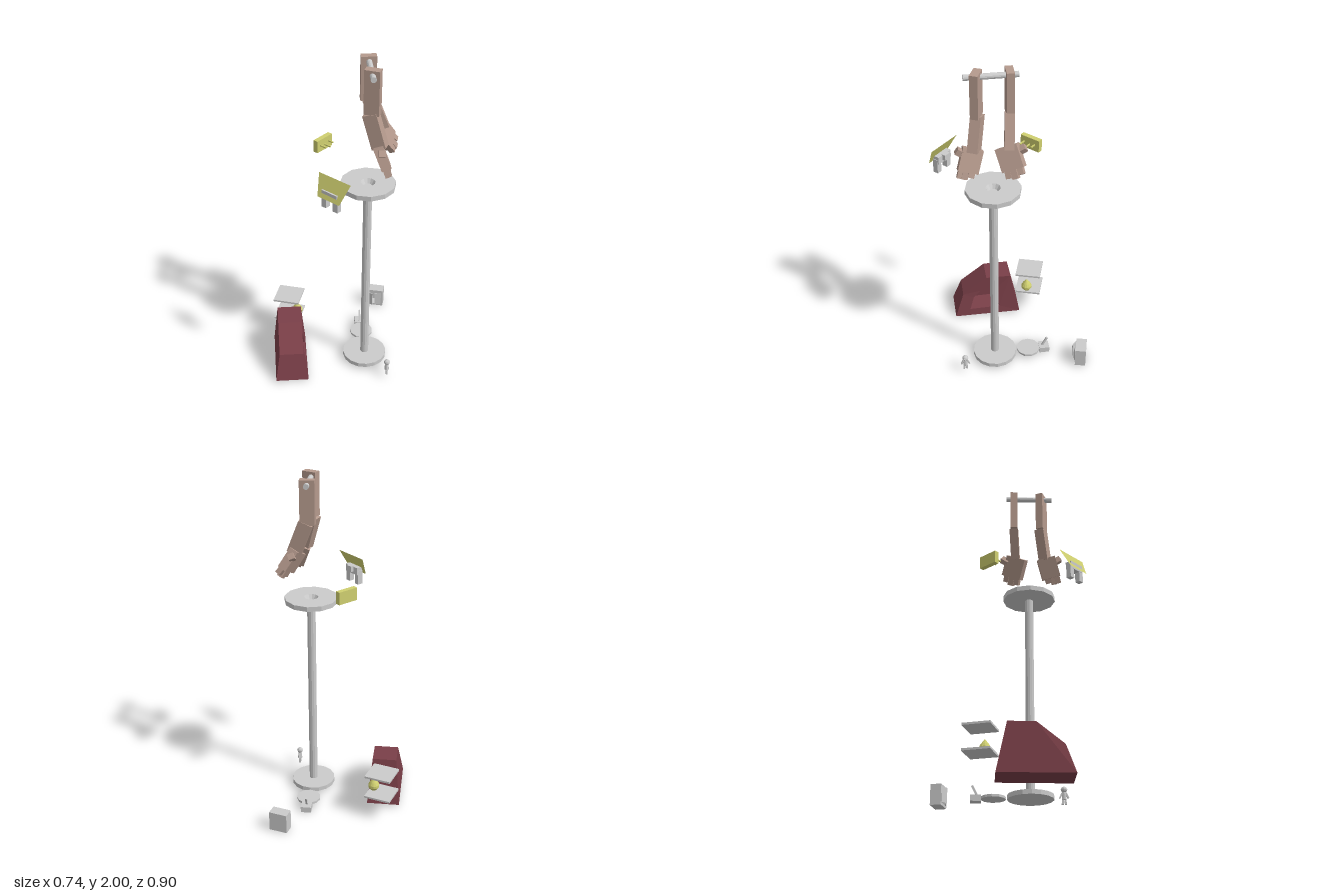
import * as THREE from 'three';

const mat = (color) => new THREE.MeshStandardMaterial({ color, flatShading: true, side: THREE.DoubleSide });
const V = (a) => new THREE.Vector3(...a);

export function createModel() {
  const model = new THREE.Group();
  const grey = mat(0xcccccc), clay = mat(0xb59a8d), red = mat(0x7a3f48), olive = mat(0xcfcf70);

  const add = (name, geo, material, pos = [0, 0, 0], rotY = 0, parent = model) => {
    const m = new THREE.Mesh(geo, material);
    m.name = name;
    m.position.set(...pos);
    m.rotation.y = rotY;
    parent.add(m);
    return m;
  };
  const box = (w, h, d) => new THREE.BoxGeometry(w, h, d);
  const group = (name, pos, rotY = 0) => {
    const g = new THREE.Group();
    g.name = name;
    g.position.set(...pos);
    g.rotation.y = rotY;
    model.add(g);
    return g;
  };
  // box running from one point to another, its wide side turned towards a hint
  const limb = (name, from, to, wide, thick, hint, material, parent = model) => {
    const a = V(from), b = V(to), y = b.clone().sub(a), len = y.length();
    y.normalize();
    const x = V(hint).addScaledVector(y, -V(hint).dot(y)).normalize();
    const m = add(name, box(wide, len, thick), material, a.add(b).multiplyScalar(0.5).toArray(), 0, parent);
    m.quaternion.setFromRotationMatrix(new THREE.Matrix4().makeBasis(x, y, x.clone().cross(y)));
    return m;
  };

  // stand: base, pole and top disc with a funnel hole
  const cx = 0.183, cz = 0.113;
  add('base', new THREE.CylinderGeometry(0.132, 0.132, 0.026, 16), grey, [cx, 0.029, cz]);
  add('pole', new THREE.CylinderGeometry(0.025, 0.025, 1.21, 12), grey, [cx, 0.645, cz]);
  const rim = [[0.025, 1.247], [0.157, 1.247], [0.157, 1.276], [0.042, 1.276], [0.025, 1.25]];
  add('topDisc', new THREE.LatheGeometry(rim.map((p) => new THREE.Vector2(...p)), 12), grey, [cx, 0, cz]);

  // pedal beside the base
  add('smallDisc', new THREE.CylinderGeometry(0.071, 0.071, 0.014, 11), grey, [0.184, 0.023, -0.095]);
  add('leverBox', box(0.062, 0.036, 0.062), grey, [0.183, 0.018, -0.194]);
  limb('lever', [0.183, 0.03, -0.182], [0.183, 0.094, -0.214], 0.011, 0.011, [1, 0, 0], grey);

  // little figure, facing -x
  const fig = group('figure', [0.3, 0, 0.31]);
  const ball = (r) => new THREE.SphereGeometry(r, 10, 7);
  add('head', ball(0.018), grey, [0, 0.108, 0], 0, fig);
  add('body', new THREE.CylinderGeometry(0.011, 0.014, 0.042, 8), grey, [0, 0.072, 0], 0, fig);
  for (const s of [-1, 1]) {
    limb('arm', [0, 0.09, s * 0.01], [0, 0.058, s * 0.025], 0.009, 0.009, [1, 0, 0], grey, fig);
    limb('leg', [0, 0.056, s * 0.007], [0, 0.02, s * 0.009], 0.011, 0.011, [1, 0, 0], grey, fig);
  }
  for (let i = -3; i <= 3; i++) {
    const a = i * 0.4;
    const spike = add('hair', new THREE.ConeGeometry(0.005, 0.01, 5), grey,
      [Math.cos(a) * 0.017, 0.11, Math.sin(a) * 0.017], 0, fig);
    spike.quaternion.setFromUnitVectors(V([0, 1, 0]), V([Math.cos(a), 0, Math.sin(a)]));
  }

  // oven: tapered body with a recess in its +x side, from joined loops of z, y points
  const outer = [[0.32, 0.01], [0.267, 0.17], [0.116, 0.292], [-0.036, 0.292], [-0.095, 0.01]];
  const mouth = [[0.225, 0.055], [0.2, 0.14], [0.155, 0.188], [0.06, 0.188], [0.035, 0.06]];
  const half = (y) => 0.098 - 0.026 * Math.min(1, (y - 0.01) / 0.16);
  const loops = [
    outer.map(([z, y]) => [-half(y), y, z]),
    outer.map(([z, y]) => [half(y), y, z]),
    mouth.map(([z, y]) => [half(y), y, z]),
    mouth.map(([z, y]) => [-0.02, 0.115 + (y - 0.115) * 0.8, 0.13 + (z - 0.13) * 0.8]),
  ];
  const tris = [];
  for (let k = 0; k < loops.length - 1; k++) {
    for (let i = 0; i < 5; i++) {
      const j = (i + 1) % 5, [a, b, c, d] = [loops[k][i], loops[k][j], loops[k + 1][j], loops[k + 1][i]];
      tris.push(a, b, c, a, c, d);
    }
  }
  for (let i = 1; i < 4; i++) {
    tris.push(loops[0][0], loops[0][i + 1], loops[0][i]);
    tris.push(loops[3][0], loops[3][i], loops[3][i + 1]);
  }
  const ovenGeo = new THREE.BufferGeometry();
  ovenGeo.setAttribute('position', new THREE.Float32BufferAttribute(tris.flat(), 3));
  ovenGeo.computeVertexNormals();
  add('oven', ovenGeo, red, [-0.275, 0, 0]);

  // two shelves with a teardrop on the lower one
  for (const y of [0.142, 0.28]) add('shelf', box(0.16, 0.012, 0.157), grey, [-0.27, y, -0.173], -0.3);
  const drop = [[0, 0], [0.02, 0.004], [0.033, 0.022], [0.033, 0.038], [0.023, 0.056], [0.009, 0.074], [0, 0.085]];
  add('teardrop', new THREE.LatheGeometry(drop.map((p) => new THREE.Vector2(...p)), 12), olive, [-0.221, 0.148, -0.148]);

  // open cabinet with two doors
  const cab = group('cabinet', [0.308, 0.003, -0.405], -0.26);
  const frame = new THREE.Shape([[-0.055, 0], [0.055, 0], [0.055, 0.12], [-0.055, 0.12]].map((p) => new THREE.Vector2(...p)));
  frame.holes.push(new THREE.Path([[-0.043, 0.014], [-0.043, 0.106], [0.043, 0.106], [0.043, 0.014]].map((p) => new THREE.Vector2(...p))));
  add('frame', new THREE.ExtrudeGeometry(frame, { depth: 0.052, bevelEnabled: false }), grey, [0, 0, -0.02], 0, cab);
  add('back', box(0.11, 0.12, 0.012), grey, [0, 0.06, -0.026], 0, cab);
  limb('leftDoor', [0.342, 0.063, -0.363], [0.3, 0.063, -0.364], 0.09, 0.004, [0, 1, 0], grey);
  limb('rightDoor', [0.251, 0.063, -0.387], [0.285, 0.063, -0.356], 0.09, 0.004, [0, 1, 0], grey);

  // slanted sign plate on a two-legged bracket
  const p = [[-0.099, 1.455, 0.28], [-0.113, 1.342, 0.342], [-0.006, 1.342, 0.446], [0.056, 1.455, 0.432]];
  const plate = new THREE.BufferGeometry();
  plate.setAttribute('position', new THREE.Float32BufferAttribute([p[0], p[1], p[2], p[0], p[2], p[3]].flat(), 3));
  plate.computeVertexNormals();
  add('signPlate', plate, olive);
  const bracket = group('bracket', [-0.045, 0, 0.376], -Math.PI / 4);
  add('bracketBody', box(0.105, 0.045, 0.04), grey, [0, 1.362, -0.008], 0, bracket);
  add('bracketBack', box(0.04, 0.035, 0.025), grey, [0, 1.372, -0.036], 0, bracket);
  for (const s of [-1, 1]) add('bracketLeg', box(0.032, 0.085, 0.032), grey, [s * 0.04, 1.322, -0.005], 0, bracket);

  // peg rack
  const rack = group('pegRack', [-0.052, 1.397, -0.135], Math.PI / 4);
  add('rackBoard', box(0.125, 0.074, 0.029), olive, [0, 0, 0], 0, rack);
  [[-0.037, 0.003, 0.058], [0, -0.005, 0.059], [0.034, 0.004, 0.048]].forEach(([x, y, z]) =>
    limb('peg', [x, y, 0], [x, y, z], 0.007, 0.007, [1, 0, 0], olive, rack));

  // bar carrying the two hanging arms
  const bar = add('bar', new THREE.CylinderGeometry(0.016, 0.016, 0.288, 12), grey, [cx, 1.971, 0.118]);
  bar.rotation.x = Math.PI / 2;

  // back arm
  add('backUpperArm', box(0.085, 0.255, 0.042), clay, [0.183, 1.8725, 0.021]);
  limb('backForearm', [0.192, 1.755, 0.022], [0.262, 1.575, 0.035], 0.082, 0.052, [1, 0.3, 0.1], clay);
  const wideA = [0.19, 0.5, -0.86];
  limb('backPalm', [0.243, 1.58, 0.045], [0.31, 1.475, 0.015], 0.125, 0.055, wideA, clay);
  limb('backFinger', [0.3, 1.475, 0.05], [0.325, 1.43, 0.042], 0.032, 0.032, wideA, clay);
  limb('backFinger', [0.31, 1.485, 0.02], [0.34, 1.435, 0.008], 0.035, 0.035, wideA, clay);
  limb('backFinger', [0.315, 1.505, -0.012], [0.348, 1.465, -0.02], 0.032, 0.032, wideA, clay);
  limb('backThumb', [0.265, 1.555, -0.01], [0.27, 1.582, -0.052], 0.035, 0.035, [1, -0.5, 0], clay);

  // front arm
  add('frontUpperArm', box(0.085, 0.255, 0.045), clay, [0.188, 1.8725, 0.196], -0.41);
  limb('frontForearm', [0.18, 1.745, 0.19], [0.232, 1.555, 0.218], 0.08, 0.058, [0.9, 0.25, 0.38], clay);
  const wideB = [-0.1, 0.35, 0.93];
  limb('frontPalm', [0.218, 1.565, 0.222], [0.262, 1.45, 0.258], 0.112, 0.055, wideB, clay);
  limb('frontFinger', [0.255, 1.46, 0.29], [0.27, 1.42, 0.302], 0.033, 0.033, wideB, clay);
  limb('frontFinger', [0.26, 1.46, 0.268], [0.275, 1.415, 0.278], 0.033, 0.033, wideB, clay);
  limb('frontFinger', [0.26, 1.455, 0.232], [0.275, 1.42, 0.244], 0.033, 0.033, wideB, clay);
  limb('frontThumb', [0.232, 1.54, 0.268], [0.232, 1.57, 0.312], 0.035, 0.035, [1, 0, 0], clay);

  return model;
}
